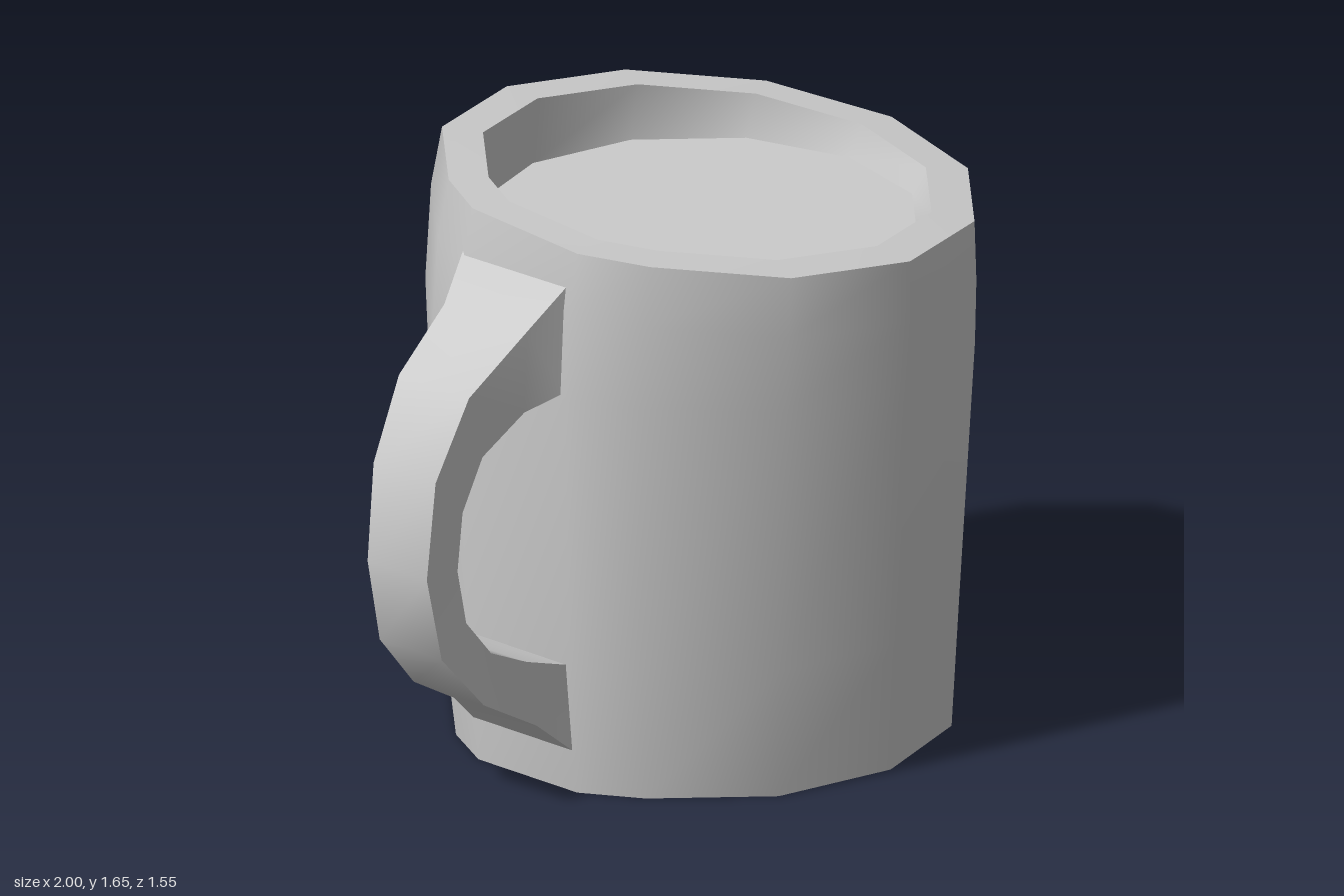
import * as THREE from 'three';
import { toCreasedNormals } from 'three/addons/utils/BufferGeometryUtils.js';

// Closed loft through rings of equal point count, capped at both ends.
function loft(rings, crease) {
  const n = rings[0].length, index = [];
  const points = rings.flat();
  for (let j = 0; j < rings.length - 1; j++) {
    for (let i = 0; i < n; i++) {
      const a = j * n + i, b = j * n + (i + 1) % n;
      index.push(a, b, b + n, a, b + n, a + n);
    }
  }
  const last = (rings.length - 1) * n;
  for (let i = 1; i < n - 1; i++) {
    index.push(0, i + 1, i, last, last + i, last + i + 1);
  }
  const geometry = new THREE.BufferGeometry().setFromPoints(points);
  geometry.setIndex(index);
  return toCreasedNormals(geometry, crease);
}

// Twelve-sided outline whose -x corner is cut flat for the handle.
const outline = [];
for (let i = 0; i < 12; i++) {
  if (i === 6) outline.push([-1, -0.26], [-1, 0.26]);
  else outline.push([Math.cos(i * Math.PI / 6), -Math.sin(i * Math.PI / 6)]);
}

// Horizontal ring; tilt 1 slopes it like the rim.
function cupRing([r, cx, cz, y, tilt]) {
  return outline.map(([u, v]) => new THREE.Vector3(
    cx + r * u, y - tilt * r * (0.07 * u + 0.077 * v), cz + r * v));
}

export function createModel() {
  const group = new THREE.Group();
  group.name = 'mug';
  const material = new THREE.MeshStandardMaterial({ color: 0xcccccc });
  const add = (name, geometry) => {
    const mesh = new THREE.Mesh(geometry, material);
    mesh.name = name;
    group.add(mesh);
  };

  // Cup: outer wall, slanted rim, then down to the shallow inside floor.
  // radius, centre x, centre z, height, tilt
  const cup = [
    [0.705, 0.23, 0, 0, 0],
    [0.733, 0.22, 0, 0.38, 0],
    [0.772, 0.228, 0, 1.17, 0.4],
    [0.766, 0.235, 0.007, 1.4, 1],
    [0.748, 0.237, 0.022, 1.575, 1],
    [0.63, 0.235, 0.02, 1.58, 1],
    [0.615, 0.222, 0, 1.44, 0],
  ];
  add('cup', loft(cup.map(cupRing), 0.6));

  // Handle: rectangular sections from the top joint round to the bottom one.
  // outer x, outer y, inner x, inner y, half width
  const handle = [
    [-0.515, 1.515, -0.53, 1.2, 0.195],
    [-0.64, 1.4, -0.65, 1.165, 0.153],
    [-0.85, 1.26, -0.795, 1.07, 0.13],
    [-0.97, 1.04, -0.86, 0.92, 0.115],
    [-1, 0.76, -0.875, 0.75, 0.11],
    [-0.945, 0.51, -0.845, 0.59, 0.115],
    [-0.79, 0.335, -0.76, 0.48, 0.13],
    [-0.6, 0.225, -0.64, 0.425, 0.153],
    [-0.48, 0.12, -0.505, 0.385, 0.185],
  ];
  add('handle', loft(handle.map(([ox, oy, ix, iy, w]) => [
    new THREE.Vector3(ox, oy, w - 0.007),
    new THREE.Vector3(ox, oy, -w - 0.007),
    new THREE.Vector3(ix, iy, -w - 0.007),
    new THREE.Vector3(ix, iy, w - 0.007),
  ]), 0.6));

  return group;
}
